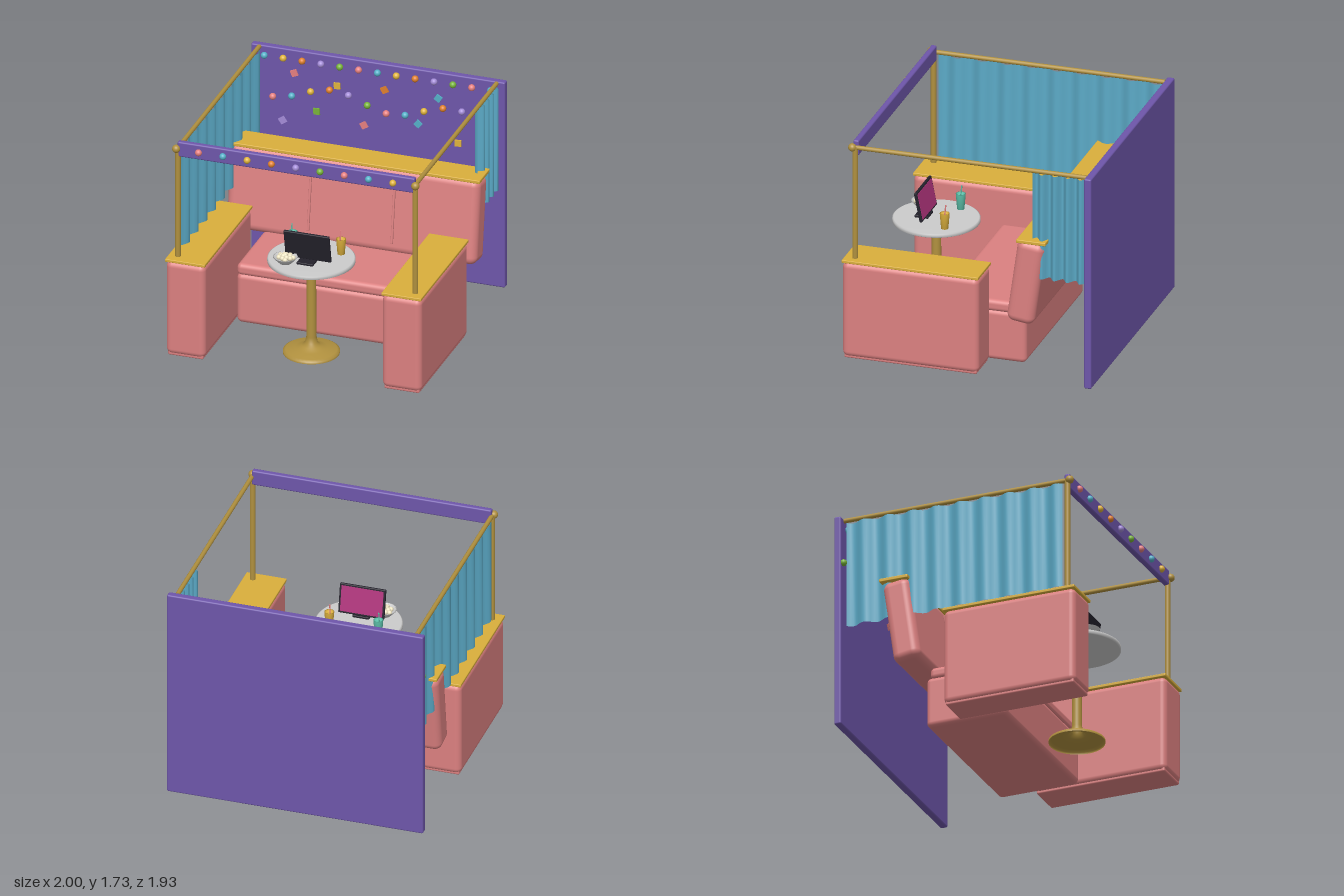
import * as THREE from 'three';
import { RoundedBoxGeometry } from 'three/addons/geometries/RoundedBoxGeometry.js';

const mat = (color, side = THREE.FrontSide) => new THREE.MeshStandardMaterial({ color, side });
const PINK = mat(0xdb8080), GOLD = mat(0xd9ae3c), BRASS = mat(0xb0903e, THREE.DoubleSide);
const PURPLE = mat(0x6e56aa), GREY = mat(0xcccccc, THREE.DoubleSide), BLACK = mat(0x24222c);
const CLOTH = mat(0x5cabc8, THREE.DoubleSide), CORN = mat(0xf0e6c4), TEAL = mat(0x5cbfa8);
const PARTY = [0xe57f80, 0x55b0c8, 0xe0b43c, 0xe0802c, 0xa48cd8, 0x78b43a].map(c => mat(c));

export function createModel() {
  const root = new THREE.Group();

  const add = (name, geo, material, x = 0, y = 0, z = 0, parent = root) => {
    const m = new THREE.Mesh(geo, material);
    m.name = name;
    m.position.set(x, y, z);
    parent.add(m);
    return m;
  };
  // Rounded box given by its extents
  const block = (name, material, [x0, x1], [y0, y1], [z0, z1], r) =>
    add(name, new RoundedBoxGeometry(x1 - x0, y1 - y0, z1 - z0, 4, r), material,
      (x0 + x1) / 2, (y0 + y1) / 2, (z0 + z1) / 2);
  const group = (name, x, y, z) => {
    const g = new THREE.Group();
    g.name = name;
    g.position.set(x, y, z);
    root.add(g);
    return g;
  };

  // Back wall and front valance
  block('backWall', PURPLE, [-0.99, 0.99], [0.005, 1.685], [-0.964, -0.908], 0.012);
  block('valance', PURPLE, [-0.925, 0.925], [1.605, 1.726], [0.853, 0.897], 0.012);

  // Sofa seat
  block('seatBase', PINK, [-0.685, 0.685], [0, 0.4], [-0.36, 0.28], 0.04);
  block('seatCushion', PINK, [-0.685, 0.685], [0.385, 0.478], [-0.33, 0.275], 0.035);

  // Leaning backrest with two thin strips
  const back = group('backrest', 0, 0.775, -0.443);
  back.rotation.x = -0.14;
  add('backCushion', new RoundedBoxGeometry(1.95, 0.665, 0.215, 5, 0.06), PINK, 0, 0, 0, back);
  for (const s of [-1, 1])
    add('backStrip', new RoundedBoxGeometry(0.018, 0.52, 0.018, 2, 0.006), PINK, s * 0.326, 0.01, 0.118, back);
  block('backLedge', GOLD, [-0.98, 0.98], [1.097, 1.124], [-0.607, -0.38], 0.006);

  for (const s of [-1, 1]) {
    // Arms with ledges
    const span = (a, b) => (s > 0 ? [a, b] : [-b, -a]);
    block('armPlinth', PINK, span(0.705, 0.98), [0, 0.06], [-0.075, 0.95], 0.012);
    block('arm', PINK, span(0.69, 0.995), [0.01, 0.766], [-0.09, 0.963], 0.045);
    block('armLedge', GOLD, span(0.688, 0.998), [0.762, 0.785], [-0.092, 0.963], 0.005);

    // Canopy post, side rail and corner knob
    add('post', new THREE.CylinderGeometry(0.021, 0.021, 0.9, 16), BRASS, s * 0.925, 1.23, 0.88);
    const rail = add('rail', new THREE.CylinderGeometry(0.017, 0.017, 1.82, 16), BRASS, s * 0.925, 1.67, 0);
    rail.rotation.x = Math.PI / 2;
    add('railKnob', new THREE.SphereGeometry(0.031, 20, 14), BRASS, s * 0.932, 1.67, 0.9);
  }

  // Pleated curtains: a plane displaced along x by a wave
  const curtain = (name, x, z0, z1, pleats, depth) => {
    const geo = new THREE.PlaneGeometry(z1 - z0, 0.835, pleats * 8, 1);
    geo.rotateY(Math.PI / 2);
    const p = geo.attributes.position;
    for (let i = 0; i < p.count; i++) {
      const t = p.getZ(i) / (z1 - z0) + 0.5;
      p.setX(i, depth * Math.sin(t * pleats * Math.PI * 2));
    }
    geo.computeVertexNormals();
    add(name, geo, CLOTH, x, 1.235, (z0 + z1) / 2);
  };
  curtain('longCurtain', -0.922, -0.89, 0.84, 9, 0.024);
  curtain('shortCurtain', 0.925, -0.89, -0.49, 4, 0.03);

  // Strings of coloured baubles
  const ball = new THREE.SphereGeometry(0.026, 18, 12);
  for (let i = 0; i < 9; i++)
    add('valanceBauble', ball, PARTY[i % 6], -0.757 + i * 0.1893, 1.667, 0.903);
  for (let i = 0; i < 13; i++) {
    add('upperBauble', ball, PARTY[(i + 1) % 6], -0.882 + i * 0.147, 1.61, -0.897);
    add('lowerBauble', ball, PARTY[(i + 5) % 6], -0.963 + i * 0.1473, 1.347 + 0.062 * Math.sin(i - 2.6), -0.897);
  }

  // Confetti squares on the wall: x, y, turn, colour
  [[-0.65, 1.5, 0.4, 0], [-0.315, 1.45, 0.05, 2], [0.053, 1.477, 0.5, 3], [0.472, 1.477, 1.0, 1],
    [0.79, 1.285, 0.1, 5], [0.315, 1.242, 0.9, 1], [-0.107, 1.162, 0.55, 0], [-0.475, 1.215, 0.05, 5],
    [0.627, 1.135, 0.05, 2], [-0.74, 1.1, 0.6, 4]].forEach(([x, y, turn, c]) => {
    add('confetti', new THREE.BoxGeometry(0.05, 0.05, 0.012), PARTY[c], x, y, -0.902).rotation.z = turn;
  });

  // Pedestal table
  const lathe = (pts, n = 40) => new THREE.LatheGeometry(pts.map(p => new THREE.Vector2(...p)), n);
  const table = group('table', 0, 0, 0.555);
  add('tableTop', lathe([[0, 0.742], [0.315, 0.742], [0.325, 0.748], [0.325, 0.77], [0.315, 0.776], [0, 0.776]], 56),
    GREY, 0, 0, 0, table);
  add('tablePedestal', lathe([[0.21, 0], [0.21, 0.016], [0.19, 0.028], [0.12, 0.042], [0.07, 0.058],
    [0.046, 0.085], [0.038, 0.13], [0.034, 0.742]]), BRASS, 0, 0, 0, table);

  // Tilted screen facing the sofa
  const screen = group('screen', 0, 0.905, 0.64);
  screen.rotation.x = 0.2;
  add('screenCase', new RoundedBoxGeometry(0.355, 0.23, 0.022, 2, 0.006), BLACK, 0, 0, 0, screen);
  add('screenPanel', new THREE.BoxGeometry(0.325, 0.2, 0.004), mat(0xb0347c), 0, 0, -0.012, screen);
  block('screenFoot', BLACK, [-0.064, 0.064], [0.775, 0.793], [0.6, 0.705], 0.005);

  // Snack bowl
  const bowl = group('snackBowl', -0.15, 0.776, 0.705);
  add('bowl', lathe([[0, 0], [0.045, 0], [0.065, 0.02], [0.092, 0.05], [0.086, 0.05], [0.06, 0.024], [0, 0.012]], 32),
    GREY, 0, 0, 0, bowl);
  const corn = new THREE.SphereGeometry(0.019, 12, 8);
  for (let i = 0; i < 14; i++) {
    const r = 0.0145 * Math.sqrt(i) * 1.1, a = i * 2.4;
    add('popcorn', corn, CORN, r * Math.cos(a), 0.062 - r * 0.35, r * Math.sin(a), bowl);
  }

  // Drinks with straws
  for (const [x, material, straw] of [[0.187, GOLD, PARTY[0]], [-0.192, TEAL, TEAL]]) {
    const drink = group('drink', x, 0.776, 0.43);
    add('glass', lathe([[0, 0], [0.027, 0], [0.037, 0.122], [0.032, 0.122], [0.031, 0.105], [0, 0.105]], 24),
      mat(material.color, THREE.DoubleSide), 0, 0, 0, drink);
    add('straw', new THREE.CylinderGeometry(0.005, 0.005, 0.13, 8), straw, -0.006, 0.12, 0, drink).rotation.x = -0.1;
  }
  return root;
}
